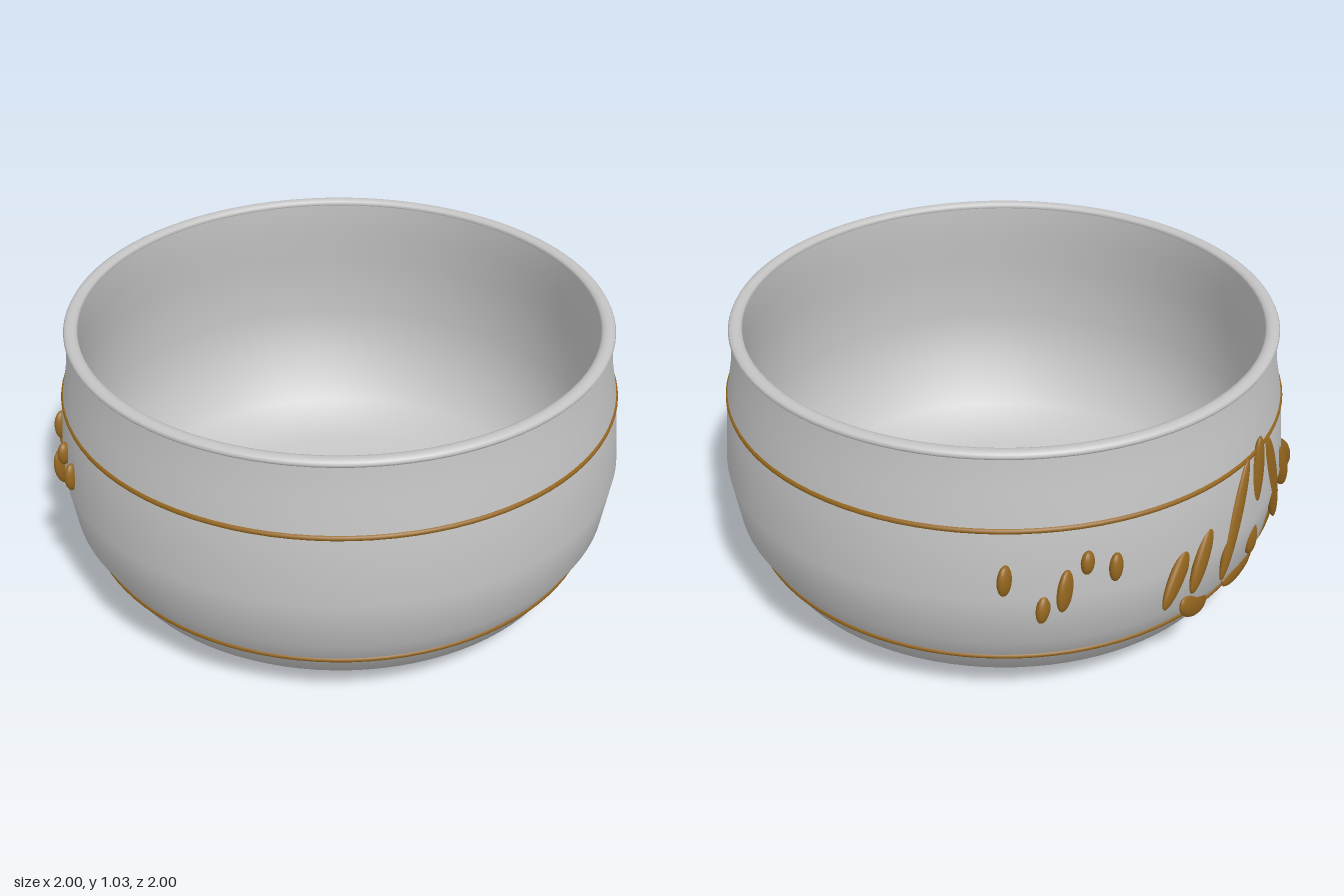
import * as THREE from 'three';

const glaze = new THREE.MeshStandardMaterial({ color: 0xc4c4c4 });
glaze.name = 'pale glaze';
const gold = new THREE.MeshStandardMaterial({ color: 0x94661f });
gold.name = 'dark gold';

function add(parent, name, geometry, material) {
  const mesh = new THREE.Mesh(geometry, material);
  mesh.name = name;
  parent.add(mesh);
  return mesh;
}

function lathe(points) {
  return new THREE.LatheGeometry(points.map(([r, y]) => new THREE.Vector2(r, y)), 96);
}

function ring(parent, name, radius, tube, y, material) {
  const mesh = add(parent, name, new THREE.TorusGeometry(radius, tube, 10, 96), material);
  mesh.rotation.x = Math.PI / 2;
  mesh.position.y = y;
  return mesh;
}

// Flattened ellipsoid facing the back; lean turns its long axis about z
const blob = new THREE.SphereGeometry(1, 20, 14);
function petal(parent, name, x, y, z, halfLength, halfWidth, lean) {
  const mesh = add(parent, name, blob, gold);
  mesh.position.set(x, y, z);
  mesh.scale.set(halfWidth, halfLength, 0.02);
  mesh.rotation.z = lean;
}

export function createModel() {
  const bowl = new THREE.Group();
  bowl.name = 'bowl';

  // Outer wall and underside
  add(bowl, 'outerWall', lathe([
    [0, 0.012], [0.4, 0.012], [0.44, 0.02], [0.65, 0.04], [0.86, 0.14], [0.97, 0.33],
    [1.0, 0.52], [0.977, 0.77], [0.953, 0.89], [0.942, 1.02],
  ]), glaze);

  // Inner wall and floor
  add(bowl, 'innerWall', lathe([
    [0.905, 1.02], [0.905, 0.9], [0.925, 0.77], [0.94, 0.52], [0.9, 0.33],
    [0.8, 0.18], [0.62, 0.1], [0.35, 0.07], [0, 0.065],
  ]), glaze);

  // Rounded lip
  ring(bowl, 'lip', 0.927, 0.025, 1.02, glaze).scale.z = 0.6;

  // Gold bands and foot
  ring(bowl, 'upperBand', 0.971, 0.011, 0.77, gold);
  ring(bowl, 'lowerBand', 0.911, 0.012, 0.235, gold);
  ring(bowl, 'footRing', 0.425, 0.024, 0.012, gold).scale.z = 0.5;

  // Leaf spray on the back: central leaves, then mirrored pairs
  const spray = new THREE.Group();
  spray.name = 'leafSpray';
  bowl.add(spray);
  petal(spray, 'topLeaf', 0, 0.67, -0.98, 0.15, 0.038, 0);
  petal(spray, 'middleLeaf', 0, 0.415, -0.98, 0.065, 0.035, 0);
  petal(spray, 'bottomLeaf', 0, 0.28, -0.94, 0.12, 0.045, Math.PI / 2);
  for (const s of [1, -1]) {
    petal(spray, 'longLeaf', s * 0.15, 0.575, -0.975, 0.215, 0.038, s * 0.35);
    petal(spray, 'sideLeaf', s * 0.325, 0.515, -0.942, 0.12, 0.045, s * 0.55);
    petal(spray, 'outerLeaf', s * 0.42, 0.503, -0.905, 0.13, 0.05, s * 0.85);
    petal(spray, 'lowerLeaf', s * 0.285, 0.295, -0.907, 0.115, 0.05, s * -1.05);
  }

  // Two bud clusters, the same arrangement turned around the bowl
  // Each bud: degrees from cluster centre, height, half length, half width, lean
  const buds = [
    [10, 0.6, 0.056, 0.034, 0], [3, 0.485, 0.05, 0.032, 0.2], [-1, 0.55, 0.075, 0.043, 0.2],
    [-5, 0.645, 0.042, 0.028, 0], [-10.5, 0.608, 0.052, 0.03, 0],
  ];
  for (const centre of [49, -48.5]) {
    const cluster = new THREE.Group();
    cluster.name = 'budCluster';
    bowl.add(cluster);
    for (const [offset, y, length, width, lean] of buds) {
      const a = THREE.MathUtils.degToRad(centre + offset);
      petal(cluster, 'bud', 0.997 * Math.sin(a), y, -0.997 * Math.cos(a), length, width, lean);
    }
  }
  return bowl;
}
